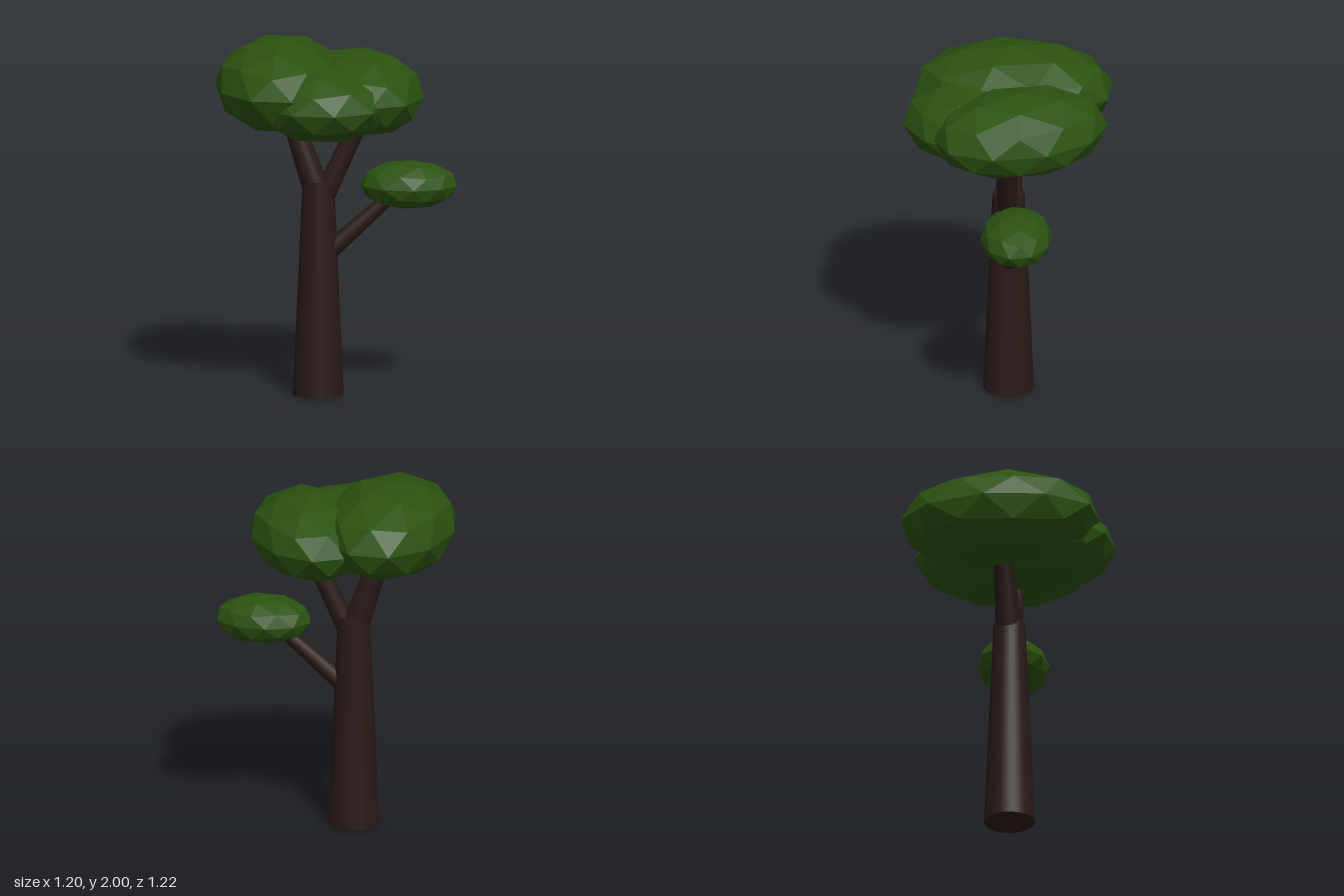
import * as THREE from 'three';

const bark = new THREE.MeshStandardMaterial({ color: 0x2a1a17 });
const leaf = new THREE.MeshStandardMaterial({ color: 0x2b5210, flatShading: true });
const rad = THREE.MathUtils.degToRad;

// Tapered limb between two points
function limb(name, from, to, r0, r1, sides = 16) {
  const a = new THREE.Vector3(...from), b = new THREE.Vector3(...to);
  const dir = b.clone().sub(a);
  const mesh = new THREE.Mesh(new THREE.CylinderGeometry(r1, r0, dir.length(), sides), bark);
  mesh.position.copy(a).add(b).multiplyScalar(0.5);
  mesh.quaternion.setFromUnitVectors(new THREE.Vector3(0, 1, 0), dir.normalize());
  mesh.name = name;
  return mesh;
}

// Faceted flattened leaf clump: a corner points straight up, then it is
// spun by phase, squashed to its radii and turned about the vertical
function clump(name, centre, radii, turn, phase) {
  const geo = new THREE.IcosahedronGeometry(1, 1);
  geo.rotateX(-Math.atan((1 + Math.sqrt(5)) / 2));
  geo.rotateY(-rad(phase - 18));
  geo.scale(...radii);
  geo.rotateY(-rad(turn));
  geo.computeVertexNormals();
  const mesh = new THREE.Mesh(geo, leaf);
  mesh.position.set(...centre);
  mesh.name = name;
  return mesh;
}

export function createModel() {
  const tree = new THREE.Group();
  tree.name = 'tree';

  // Trunk and branches
  tree.add(
    limb('trunk', [0.01, 0, 0.02], [0.01, 1.2, 0.02], 0.14, 0.088, 32),
    limb('frontBranch', [0.005, 1.14, 0.025], [-0.12, 1.62, 0.135], 0.076, 0.05),
    limb('backBranch', [0.04, 1.12, 0], [0.19, 1.62, -0.17], 0.058, 0.05),
    limb('lowBranch', [0.06, 0.82, -0.035], [0.29, 1.15, -0.32], 0.052, 0.036),
  );

  // Crown
  tree.add(
    clump('frontCrown', [-0.15, 1.74, 0.15], [0.56, 0.26, 0.37], 45, 3.3),
    clump('backCrown', [0.12, 1.69, -0.19], [0.5, 0.235, 0.34], 25, -5),
    clump('sideCrown', [0.17, 1.67, 0.12], [0.4, 0.21, 0.385], 45, 5),
    clump('lowCrown', [0.32, 1.175, -0.37], [0.272, 0.135, 0.2], -45, -9),
  );
  return tree;
}
